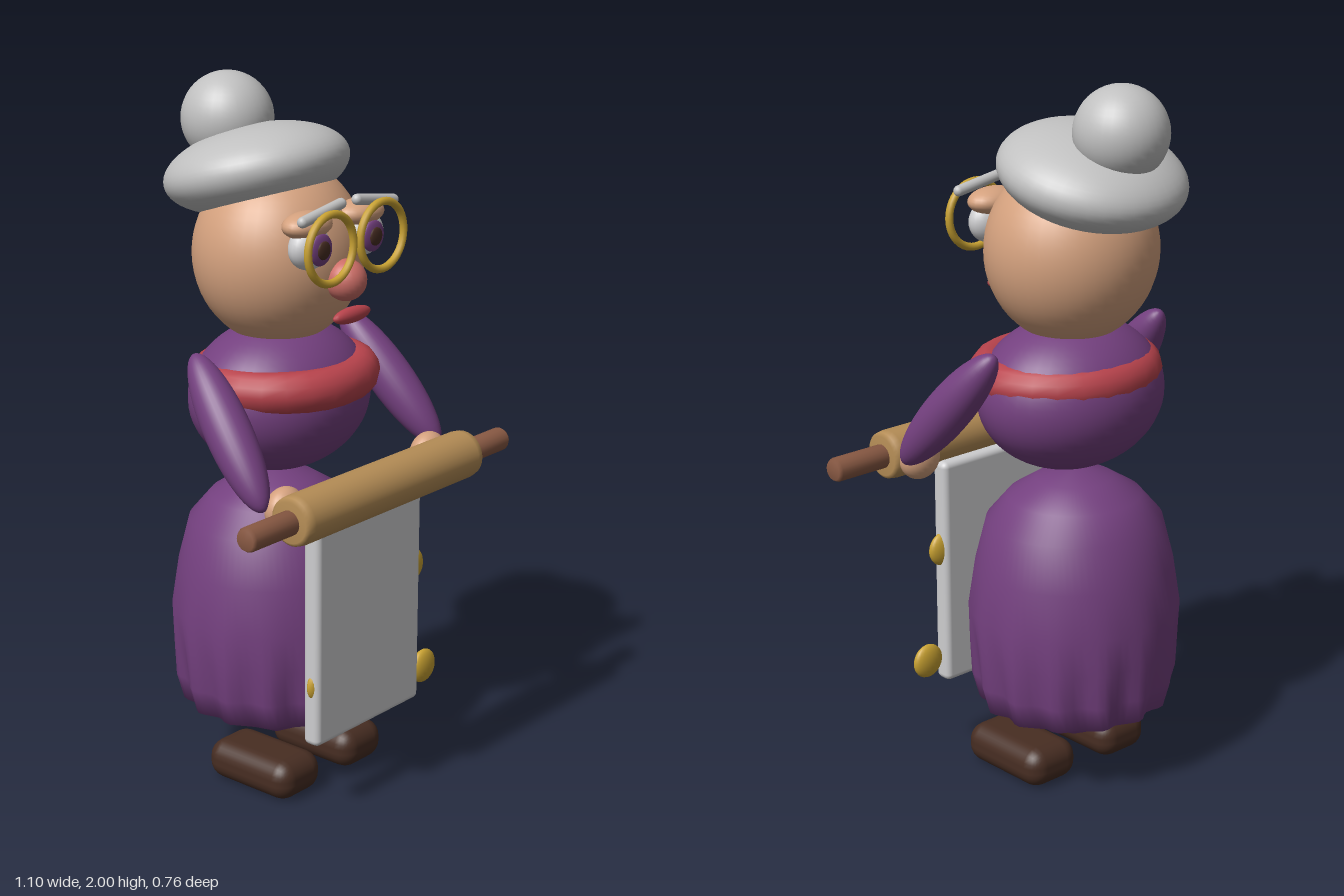
import * as THREE from 'three';
import { mergeVertices } from 'three/addons/utils/BufferGeometryUtils.js';
import { RoundedBoxGeometry } from 'three/addons/geometries/RoundedBoxGeometry.js';

const paint = (name, color) => {
  const m = new THREE.MeshStandardMaterial({ color });
  m.name = name;
  return m;
};

export function createModel() {
  const purple = paint('dress purple', 0x74407f);
  const skin = paint('skin', 0xd4a17e);
  const grey = paint('hair grey', 0xc0c0c0);
  const white = paint('apron white', 0xcdcdcf);
  const gold = paint('gold', 0xc9a232);
  const wood = paint('light wood', 0xb58d56);
  const darkWood = paint('handle wood', 0x8a5a44);
  const brown = paint('shoe brown', 0x472d22);
  const red = paint('scarf red', 0xb8434c);
  const pink = paint('nose pink', 0xcb6d66);

  const model = new THREE.Group();
  model.name = 'grandmother';

  const add = (name, geometry, material, position = [0, 0, 0]) => {
    const mesh = new THREE.Mesh(geometry, material);
    mesh.name = name;
    mesh.position.set(...position);
    model.add(mesh);
    return mesh;
  };
  const ellipsoid = (name, material, position, radii, segments = 32) =>
    add(name, new THREE.SphereGeometry(1, segments, segments * 0.75).scale(...radii), material, position);
  const lathe = (points, segments) =>
    new THREE.LatheGeometry(points.map(([r, y]) => new THREE.Vector2(r, y)), segments);

  // Head, hair and bun
  ellipsoid('head', skin, [0, 1.53, -0.058], [0.245, 0.255, 0.23], 40);
  ellipsoid('hair', grey, [0, 1.747, -0.137], [0.26, 0.12, 0.255], 40).rotation.x = -0.26;
  ellipsoid('bun', grey, [0, 1.872, -0.243], [0.128, 0.128, 0.128]);

  // Nose and mouth
  ellipsoid('nose', pink, [0, 1.487, 0.178], [0.057, 0.057, 0.058], 24);
  ellipsoid('mouth', red, [0, 1.395, 0.2], [0.075, 0.022, 0.02], 24);

  // Torso and scarf
  ellipsoid('torso', purple, [0, 1.13, -0.055], [0.28, 0.213, 0.232], 40);
  add('scarf', new THREE.TorusGeometry(0.22, 0.058, 14, 24).rotateX(Math.PI / 2).scale(1, 1, 0.9),
    red, [0, 1.192, -0.035]);

  // Skirt: turned profile with folds growing toward the hem
  let skirt = lathe([[0, 0.09], [0.13, 0.16], [0.262, 0.225], [0.283, 0.3], [0.293, 0.4], [0.302, 0.51],
    [0.282, 0.64], [0.25, 0.765], [0.19, 0.835], [0.11, 0.885], [0, 0.915]], 84);
  const p = skirt.attributes.position;
  for (let i = 0; i < p.count; i++) {
    const x = p.getX(i), y = p.getY(i), z = p.getZ(i);
    const strength = 0.05 * Math.max(0, 1 - Math.abs(y - 0.25) / 0.26);
    const k = 1 + strength * Math.cos(14 * Math.atan2(x, z));
    p.setXYZ(i, x * k, y, z * k * 0.97);
  }
  skirt.deleteAttribute('normal');
  skirt.deleteAttribute('uv');
  skirt = mergeVertices(skirt, 1e-4);
  skirt.computeVertexNormals();
  add('skirt', skirt, purple, [0, 0, -0.07]);

  // Apron and its buttons
  add('apron', new RoundedBoxGeometry(0.45, 0.67, 0.055, 3, 0.018), white, [0, 0.56, 0.248]);
  for (const [x, y] of [[0.21, 0.63], [0.275, 0.3], [-0.185, 0.4]])
    ellipsoid('button', gold, [x, y, 0.25], [0.05, 0.05, 0.021], 20);

  // Rolling pin with rounded ends
  const pin = [[0, -0.378], [0.056, -0.378], [0.066, -0.37], [0.069, -0.35],
    [0.069, 0.35], [0.066, 0.37], [0.056, 0.378], [0, 0.378]];
  add('rollingPin', lathe(pin, 28).rotateZ(Math.PI / 2), wood, [0, 0.935, 0.307]);

  for (const s of [1, -1]) {
    // Pin handle
    const handle = lathe([[0, -0.1], [0.034, -0.1], [0.034, 0.085], [0.028, 0.095], [0, 0.095]], 16);
    add('pinHandle', handle.rotateZ(-s * Math.PI / 2), darkWood, [s * 0.454, 0.935, 0.307]);

    // Arm reaching forward and hand
    const arm = ellipsoid('arm', purple, [s * 0.341, 1.12, 0.063], [0.064, 0.237, 0.064]);
    arm.quaternion.setFromUnitVectors(new THREE.Vector3(0, -1, 0),
      new THREE.Vector3(s * 0.06, -0.33, 0.28).normalize());
    ellipsoid('hand', skin, [s * 0.307, 0.935, 0.23], [0.063, 0.062, 0.047], 24);

    // Shoe
    add('shoe', new RoundedBoxGeometry(0.176, 0.115, 0.305, 3, 0.05), brown, [s * 0.137, 0.0625, 0.003]);

    // Eye, lid and brow
    ellipsoid('eyeWhite', white, [s * 0.112, 1.59, 0.145], [0.068, 0.06, 0.045], 24);
    ellipsoid('iris', purple, [s * 0.108, 1.588, 0.183], [0.043, 0.043, 0.012], 24);
    ellipsoid('pupil', brown, [s * 0.108, 1.588, 0.193], [0.025, 0.025, 0.007], 20);
    ellipsoid('eyelid', skin, [s * 0.108, 1.648, 0.135], [0.081, 0.037, 0.056], 24);
    const brow = add('eyebrow', new THREE.CapsuleGeometry(0.015, 0.155, 6, 14).rotateZ(Math.PI / 2),
      grey, [s * 0.11, 1.688, 0.187]);
    brow.rotation.z = -s * 0.16;

    // Spectacle rim
    add('glassesRim', new THREE.TorusGeometry(0.092, 0.011, 10, 40), gold, [s * 0.106, 1.595, 0.215]);
  }
  return model;
}
